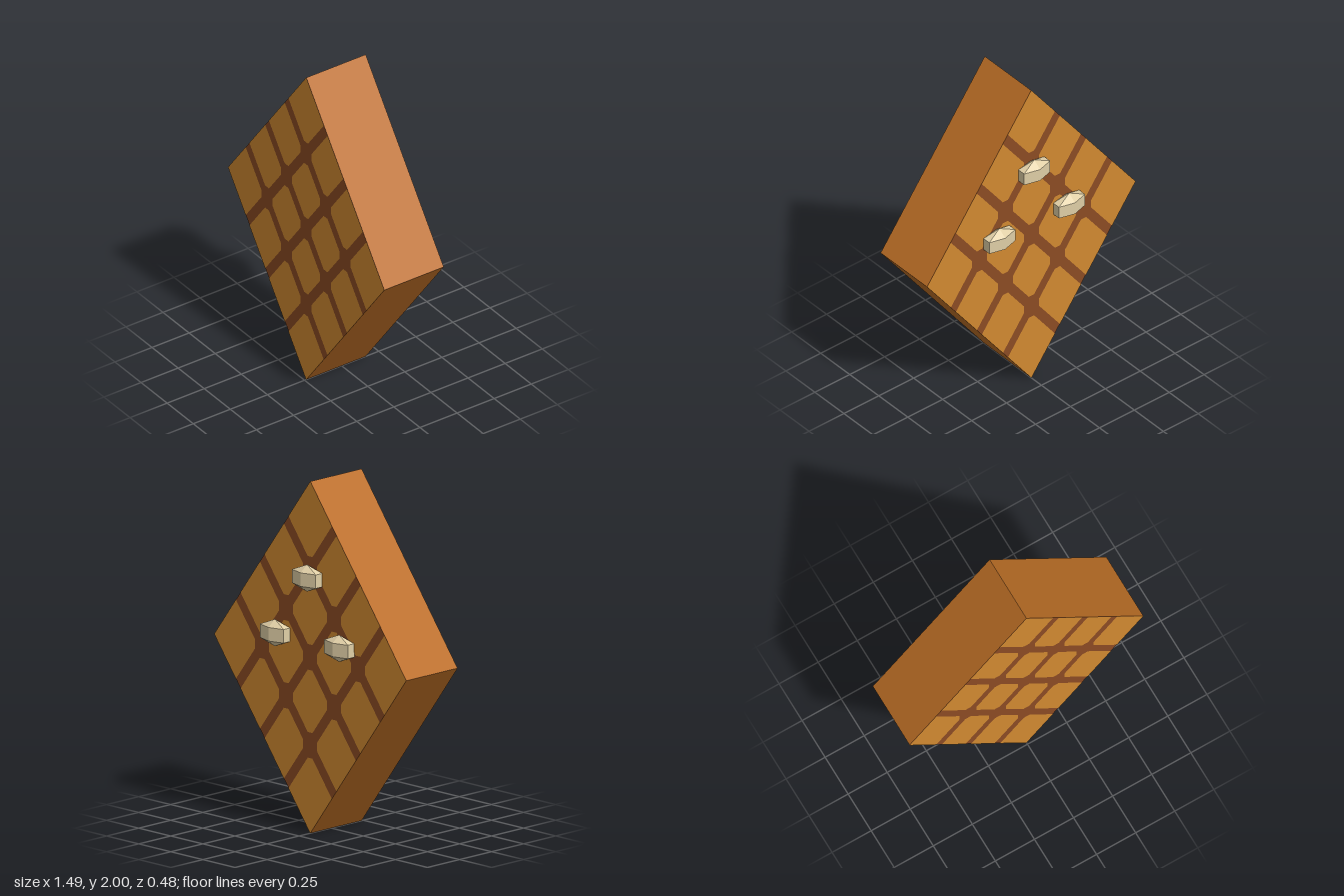
import * as THREE from 'three';

const HALF_W = 0.747, DEPTH = 0.4, FRONT = 0.238, SKIN = 0.002;
const GAP = 0.024, CUT = 0.025, N = 4;

// Slanted grid coordinates (0..1 along the two upper edges) to the diamond
const toDiamond = (u, v) => new THREE.Vector2(HALF_W * (u - v), 2 - u - v);

// One cell of the lattice, with bevelled corners where grooves cross
function cellShape(i, j) {
  const u0 = i / N + (i > 0 ? GAP : 0), u1 = (i + 1) / N - (i < N - 1 ? GAP : 0);
  const v0 = j / N + (j > 0 ? GAP : 0), v1 = (j + 1) / N - (j < N - 1 ? GAP : 0);
  const inner = t => t > 0 && t < N;
  const corners = [
    [u0, v0, i, j, 0, 1, 1, 0],
    [u1, v0, i + 1, j, -1, 0, 0, 1],
    [u1, v1, i + 1, j + 1, 0, -1, -1, 0],
    [u0, v1, i, j + 1, 1, 0, 0, -1],
  ];
  const points = [];
  for (const [u, v, a, b, du0, dv0, du1, dv1] of corners) {
    if (inner(a) && inner(b)) {
      points.push(toDiamond(u + du0 * CUT, v + dv0 * CUT), toDiamond(u + du1 * CUT, v + dv1 * CUT));
    } else points.push(toDiamond(u, v));
  }
  return new THREE.Shape(points);
}

export function createModel() {
  const model = new THREE.Group();
  const mat = (name, color) => {
    const m = new THREE.MeshStandardMaterial({ color });
    m.name = name;
    return m;
  };
  const cellMat = mat('golden cell', 0xd18930);
  const grooveMat = mat('brown groove', 0x8b4b23);
  const sideMat = mat('toasted side', 0xbc6e25);
  const studMat = mat('cream stud', 0xe0cfa6);

  // Diamond slab: groove colour on both faces, toasted rim
  const outline = new THREE.Shape([toDiamond(0, 0), toDiamond(0, 1), toDiamond(1, 1), toDiamond(1, 0)]);
  const slabGeo = new THREE.ExtrudeGeometry(outline, { depth: DEPTH, bevelEnabled: false });
  const slab = new THREE.Mesh(slabGeo, [grooveMat, sideMat]);
  slab.name = 'slab';
  slab.position.z = FRONT - DEPTH;
  model.add(slab);

  // Lattice of cells on the front and the back
  const shapes = [];
  for (let i = 0; i < N; i++) for (let j = 0; j < N; j++) shapes.push(cellShape(i, j));
  const cellGeo = new THREE.ShapeGeometry(shapes);
  const frontCells = new THREE.Mesh(cellGeo, cellMat);
  frontCells.name = 'frontCells';
  frontCells.position.z = FRONT + SKIN;
  const backCells = new THREE.Mesh(cellGeo, cellMat);
  backCells.name = 'backCells';
  backCells.rotation.y = Math.PI;
  backCells.position.z = FRONT - DEPTH - SKIN;
  model.add(frontCells, backCells);

  // Three faceted studs, half sunk in the back
  let studGeo = new THREE.SphereGeometry(1, 6, 3);
  studGeo.rotateY(Math.PI / 6);
  studGeo.scale(0.124, 0.077, 0.058);
  studGeo = studGeo.toNonIndexed();
  studGeo.computeVertexNormals();
  for (const [x, y] of [[0, 1.455], [-0.25, 1.1], [0.25, 1.1]]) {
    const stud = new THREE.Mesh(studGeo, studMat);
    stud.name = 'backStud';
    stud.position.set(x, y, -0.188);
    model.add(stud);
  }
  return model;
}
